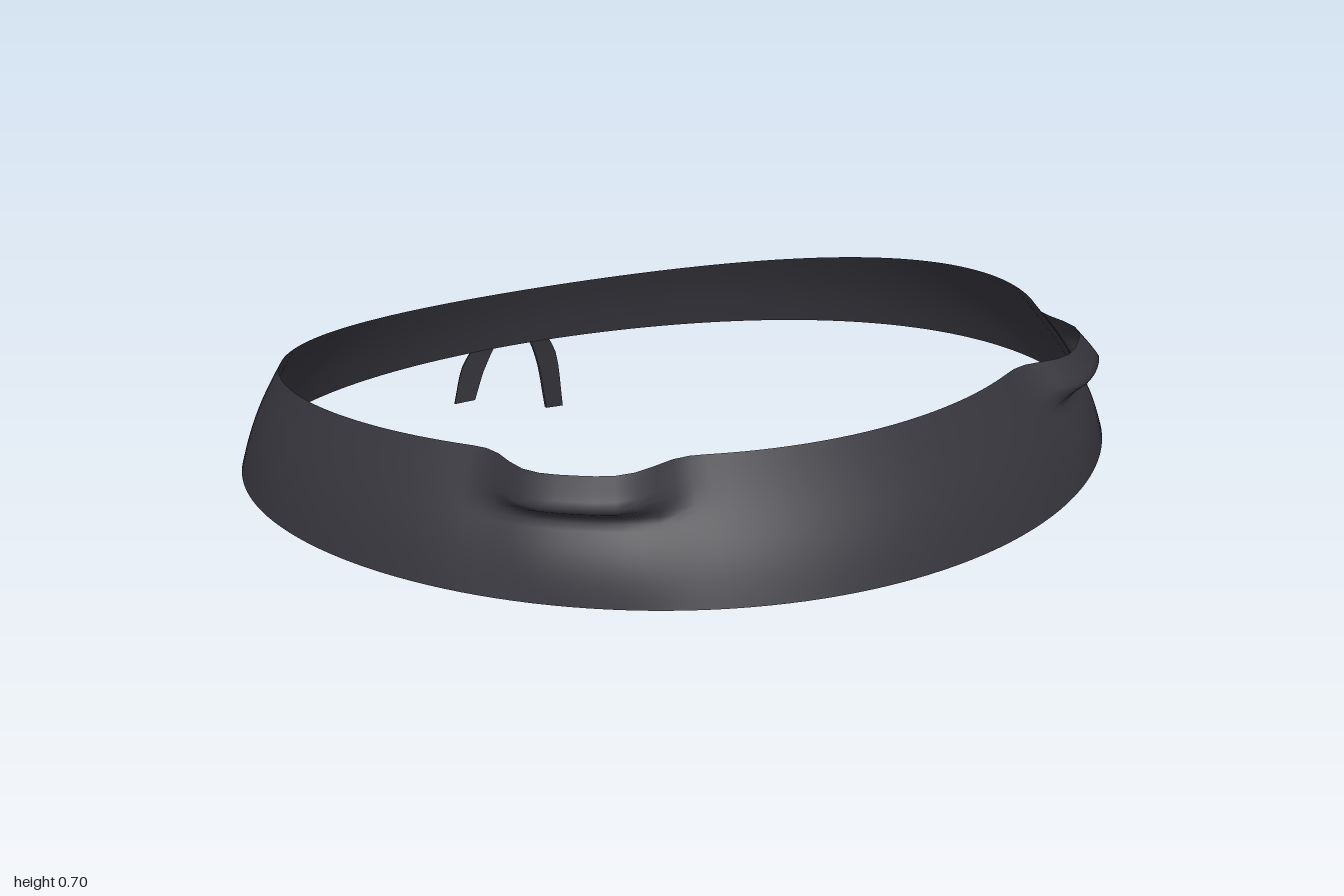
import * as THREE from 'three';

const cloth = new THREE.MeshStandardMaterial({ color: 0x35343b, side: THREE.DoubleSide });
cloth.name = 'charcoal cloth';

const { lerp, smoothstep, degToRad } = THREE.MathUtils;

// Places where the upper edge is pushed outwards: angle from the front, half width, amount
const bulges = [
  { at: degToRad(-34), half: degToRad(10), push: 0.09 },
  { at: degToRad(50), half: degToRad(10), push: 0.085 },
];

// Point on the band: angle from the front, v = 0 at the lower edge and 1 at the upper edge
function bandPoint(angle, v) {
  const belly = 0.022 * Math.sin(Math.PI * v);
  let out = belly * (0.6 + 0.4 * Math.cos(angle));
  for (const b of bulges) {
    const along = Math.exp(-Math.pow((angle - b.at) / b.half, 4));
    out += b.push * along * smoothstep(v, 0.6, 0.82);
    out += 0.012 * along * Math.sin(Math.PI * v);
  }
  const s = Math.sin(angle), c = Math.cos(angle);
  const x = (lerp(0.957, 0.845, v) + out) * s;
  const z = lerp(0.045, -0.02, v) + (lerp(0.955, 0.84, v) + out) * c;
  const zLow = 0.045 + 0.955 * c, zHigh = -0.02 + 0.84 * c;
  const low = 0.395 + 0.123 * zLow - 0.055 * zLow * zLow;
  const high = 0.62 + 0.172 * zHigh - 0.0865 * zHigh * zHigh;
  return [x, lerp(low, high, v), z];
}

// Closed sheet of cloth around the head
function bandGeometry(around = 160, rows = 20) {
  const pos = [], index = [];
  for (let i = 0; i < around; i++) {
    const angle = -Math.PI + (i / around) * Math.PI * 2;
    for (let j = 0; j <= rows; j++) pos.push(...bandPoint(angle, j / rows));
  }
  for (let i = 0; i < around; i++) {
    for (let j = 0; j < rows; j++) {
      const a = i * (rows + 1) + j;
      const b = ((i + 1) % around) * (rows + 1) + j;
      index.push(a, b, b + 1, a, b + 1, a + 1);
    }
  }
  const g = new THREE.BufferGeometry();
  g.setAttribute('position', new THREE.Float32BufferAttribute(pos, 3));
  g.setIndex(index);
  g.computeVertexNormals();
  return g;
}

// Thin strip bent along a path; across is its width direction, widths run from start to end
function ribbon(name, points, across, widths, thick = 0.008) {
  const curve = new THREE.CatmullRomCurve3(points.map((p) => new THREE.Vector3(...p)));
  const side = new THREE.Vector3(...across).normalize();
  const g = new THREE.BoxGeometry(1, 1, 1, 2, 12, 1);
  const p = g.attributes.position;
  for (let i = 0; i < p.count; i++) {
    const t = p.getY(i) + 0.5;
    const k = t * (widths.length - 1), n = Math.min(Math.floor(k), widths.length - 2);
    const w = lerp(widths[n], widths[n + 1], k - n);
    const normal = new THREE.Vector3().crossVectors(side, curve.getTangent(t)).normalize();
    const v = curve.getPoint(t)
      .addScaledVector(side, p.getX(i) * w)
      .addScaledVector(normal, p.getZ(i) * thick);
    p.setXYZ(i, v.x, v.y, v.z);
  }
  g.computeVertexNormals();
  const mesh = new THREE.Mesh(g, cloth);
  mesh.name = name;
  return mesh;
}

export function createModel() {
  const model = new THREE.Group();
  model.name = 'headband';

  const band = new THREE.Mesh(bandGeometry(), cloth);
  band.name = 'band';
  model.add(band);

  // Knot at the back
  const knotGroup = new THREE.Group();
  knotGroup.name = 'tie';
  const knot = new THREE.Mesh(new THREE.SphereGeometry(1, 12, 8), cloth);
  knot.name = 'knot';
  knot.scale.set(0.042, 0.034, 0.026);
  knot.position.set(0, 0.3, -0.93);
  knotGroup.add(knot);

  // Short ears above the knot and two hanging tails
  for (const s of [-1, 1]) {
    const end = s > 0 ? 0.004 : 0.065;
    knotGroup.add(ribbon(s > 0 ? 'leftEar' : 'rightEar',
      [[0, 0.3, -0.925], [s * 0.045, 0.325, -0.925], [s * 0.085, 0.35, -0.9]],
      [-s * 0.4, 1, 0.1], [0.03, 0.055, 0.06]));
    knotGroup.add(ribbon(s > 0 ? 'leftTail' : 'rightTail',
      [[s * 0.012, 0.295, -0.93], [s * 0.055, 0.255, -0.955],
        [s * 0.1, 0.17, -0.976], [s * 0.127, end, -0.988]],
      [1, 0.15 * -s, -0.25 * s], [0.03, 0.058, 0.066, 0.055]));
  }
  model.add(knotGroup);
  return model;
}
